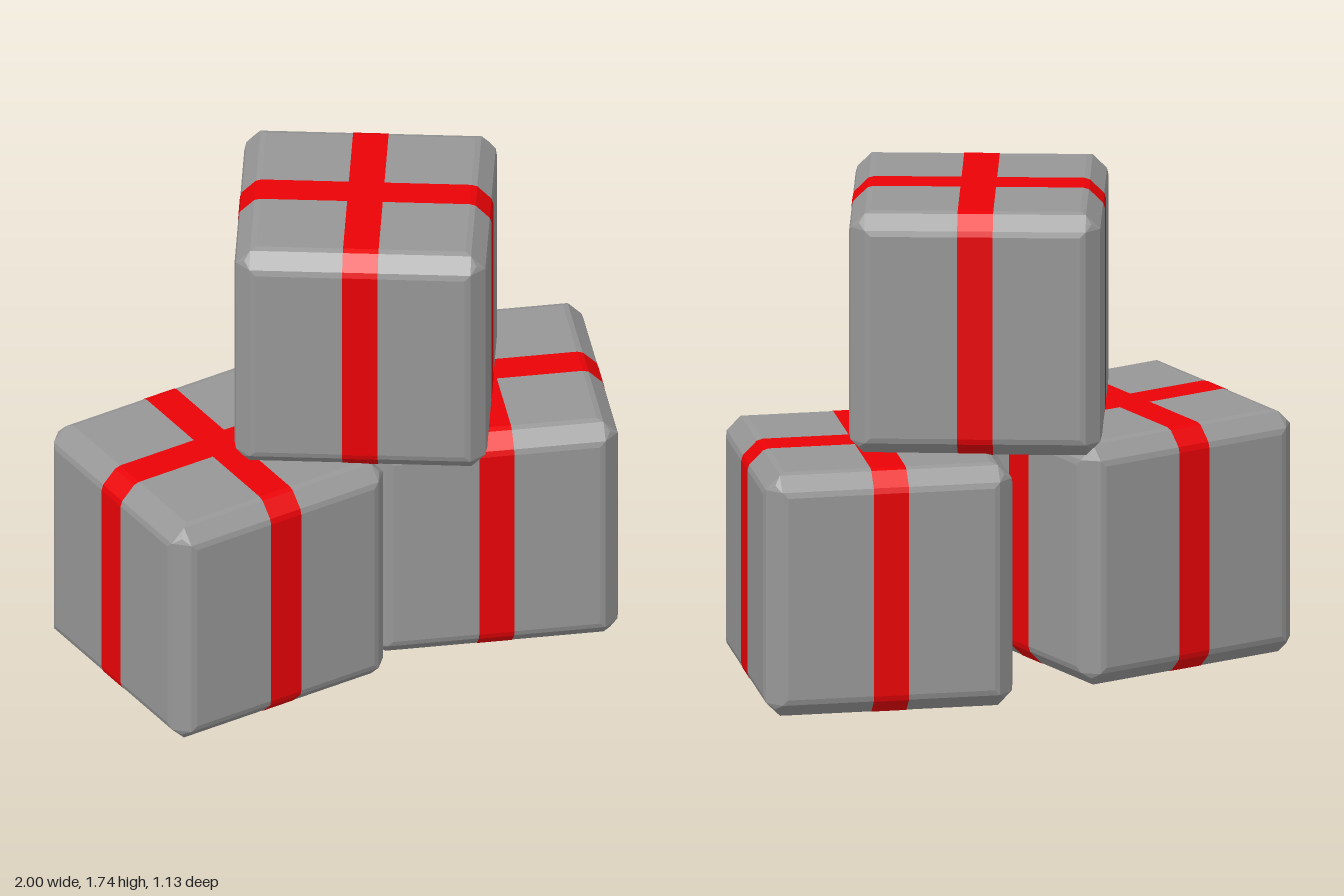
import * as THREE from 'three';
import { ConvexGeometry } from 'three/addons/geometries/ConvexGeometry.js';

const SIZE = 0.874, HALF = SIZE / 2;
const RIBBON_WIDTH = 0.123, LIFT = 0.001;
// Bevel profile: [inset along one side, inset along the other]
const BEVEL = [[0, 0.075], [0.006, 0.055], [0.055, 0.006], [0.075, 0]];
const CORNER_INSET = 0.0355;

const paper = new THREE.MeshStandardMaterial({ color: 0x979797, flatShading: true });
const red = new THREE.MeshStandardMaterial({ color: 0xea0206, flatShading: true, side: THREE.DoubleSide });

// Cube with bevelled edges and softly rounded corners
function boxGeometry() {
  const points = [];
  for (const sx of [-1, 1]) for (const sy of [-1, 1]) for (const sz of [-1, 1]) {
    const sign = new THREE.Vector3(sx, sy, sz);
    points.push(sign.clone().multiplyScalar(HALF - CORNER_INSET));
    for (const [near, far] of BEVEL.slice(0, 2)) {
      for (let axis = 0; axis < 3; axis++) {
        const p = new THREE.Vector3().setScalar(HALF - far).setComponent(axis, HALF - near);
        points.push(p.multiply(sign));
      }
    }
  }
  return new ConvexGeometry(points);
}

// Closed band following the bevelled outline in the xy plane
function ribbonGeometry() {
  const outline = [];
  const h = HALF + LIFT;
  for (let k = 0; k < 4; k++) {
    for (const [a, b] of BEVEL) {
      outline.push(new THREE.Vector2(h - a, h - b).rotateAround(new THREE.Vector2(), k * Math.PI / 2));
    }
  }
  const n = outline.length;
  const geometry = new THREE.PlaneGeometry(1, 1, n, 1);
  const pos = geometry.attributes.position;
  for (let i = 0; i < pos.count; i++) {
    const p = outline[(i % (n + 1)) % n];
    pos.setXYZ(i, p.x, p.y, (i <= n ? -0.5 : 0.5) * RIBBON_WIDTH);
  }
  geometry.computeVertexNormals();
  return geometry;
}

export function createModel() {
  const model = new THREE.Group();
  model.name = 'giftBoxStack';
  const boxGeo = boxGeometry();
  const ribbonGeo = ribbonGeometry();

  function addGift(name, x, y, z, degrees) {
    const gift = new THREE.Group();
    gift.name = name;
    const box = new THREE.Mesh(boxGeo, paper);
    box.name = 'box';
    const sideRibbon = new THREE.Mesh(ribbonGeo, red);
    sideRibbon.name = 'sideToSideRibbon';
    const frontRibbon = new THREE.Mesh(ribbonGeo, red);
    frontRibbon.name = 'frontToBackRibbon';
    frontRibbon.rotation.y = Math.PI / 2;
    gift.add(box, sideRibbon, frontRibbon);
    gift.position.set(x, y, z);
    gift.rotation.y = THREE.MathUtils.degToRad(degrees);
    model.add(gift);
  }

  addGift('rightGift', -0.533, HALF + LIFT, 0, 5);
  addGift('leftGift', 0.47, HALF + LIFT, -0.002, -18);
  addGift('topGift', 0.04, 1.301, -0.001, -30);
  return model;
}
